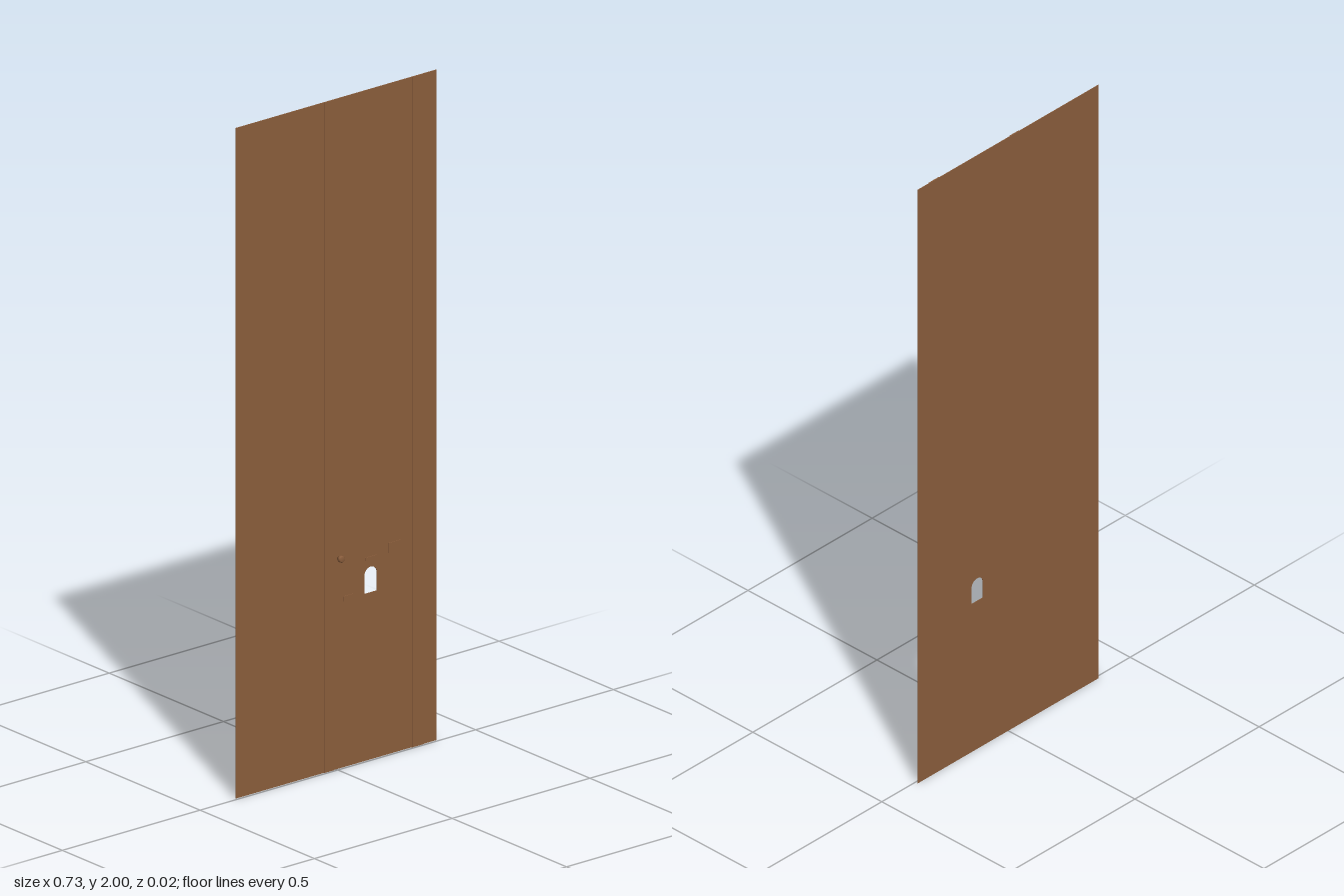
import * as THREE from 'three';

export function createModel() {
  const model = new THREE.Group();
  const wood = new THREE.MeshStandardMaterial({ color: 0x8b5e3c });
  wood.name = 'brown wood';
  const BACK = -0.009, FRONT = -0.007;

  const add = (name, geometry, x = 0, y = 0, z = 0) => {
    const mesh = new THREE.Mesh(geometry, wood);
    mesh.name = name;
    mesh.position.set(x, y, z);
    model.add(mesh);
    return mesh;
  };

  // Tall thin door panel with an arched keyhole opening
  const outline = new THREE.Shape([
    [-0.364, 0], [0.364, 0], [0.364, 2], [-0.364, 2],
  ].map(([x, y]) => new THREE.Vector2(x, y)));
  const arch = new THREE.Path();
  arch.moveTo(0.102, 0.498);
  arch.lineTo(0.102, 0.552);
  arch.absarc(0.125, 0.552, 0.023, Math.PI, 0, true);
  arch.lineTo(0.148, 0.498);
  arch.closePath();
  outline.holes.push(arch);
  add('panel', new THREE.ExtrudeGeometry(outline, {
    depth: FRONT - BACK, bevelEnabled: false, curveSegments: 8,
  }), 0, 0, BACK);

  // Shallow raised plates on the front: left, right, bottom, top
  const plates = [
    ['leftBatten', -0.045, -0.01, 0, 2],
    ['rightBatten', 0.275, 0.317, 0, 2],
    ['leftTrim', 0.025, 0.063, 0.495, 0.51],
    ['rightTrim', 0.19, 0.232, 0.6, 0.63],
    ['lintel', 0.106, 0.144, 0.596, 0.606],
  ];
  for (const [name, x0, x1, y0, y1] of plates) {
    add(name, new THREE.BoxGeometry(x1 - x0, y1 - y0, 0.002),
      (x0 + x1) / 2, (y0 + y1) / 2, FRONT + 0.001);
  }

  // Small round knob, turned about the z axis
  const profile = [[0, 0], [0.006, 0], [0.006, 0.004], [0.01, 0.007], [0.01, 0.014], [0.007, 0.016], [0, 0.016]]
    .map(([r, h]) => new THREE.Vector2(r, h));
  add('knob', new THREE.LatheGeometry(profile, 12), 0.009, 0.628, FRONT)
    .rotation.x = Math.PI / 2;

  return model;
}
